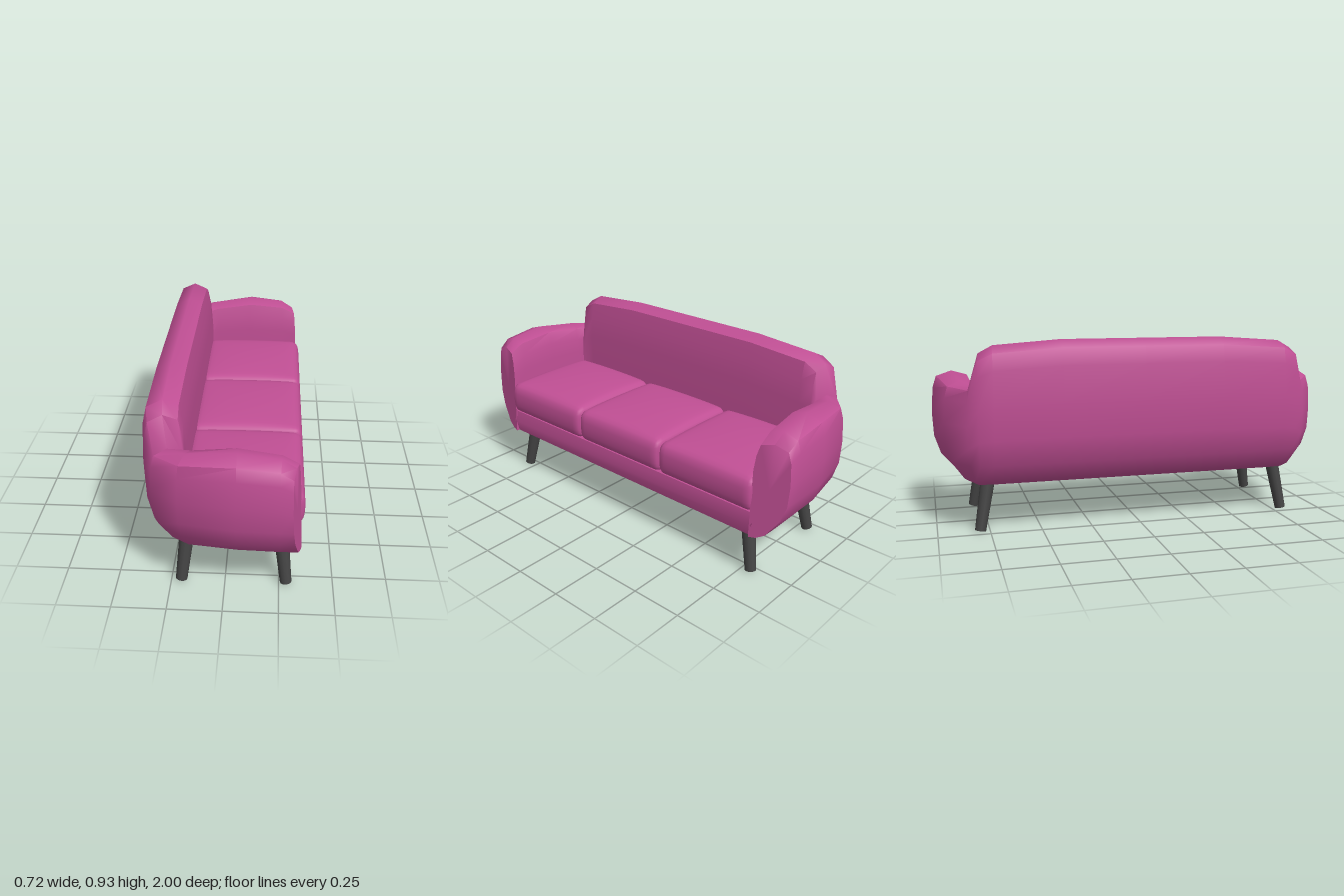
import * as THREE from 'three';
import { mergeVertices, toCreasedNormals } from 'three/addons/utils/BufferGeometryUtils.js';

const BASE = 0.345;

// Shell cross-section: u runs from inner (0) to outer (1) side.
// Points below the seat line have a fixed height, the others a share of the rise to the top.
const LOWER = [[0, 0.225], [0.2, 0.23], [0.45, 0.255], [0.82, BASE]];
const UPPER = [[0.97, 0.22], [1, 0.5], [0.96, 0.8], [0.87, 0.94], [0.5, 1],
  [0.14, 0.95], [0.05, 0.8], [0, 0.6], [0, 0]];

// Half of the U path: inner x, inner z, outer x, outer z, top height, forward lean
const STATIONS = [
  [-0.17, 0, -0.36, 0, 0.93, 0],
  [-0.17, 0.4, -0.36, 0.4, 0.93, 0],
  [-0.17, 0.71, -0.36, 0.73, 0.907, 0],
  [-0.17, 0.775, -0.345, 0.80, 0.87, 0],
  [-0.165, 0.785, -0.315, 0.85, 0.725, 0],
  [-0.13, 0.788, -0.19, 0.95, 0.735, 0],
  [0.06, 0.795, 0.06, 1.0, 0.762, 0],
  [0.25, 0.81, 0.24, 0.995, 0.74, 0.01],
  [0.325, 0.815, 0.29, 0.985, 0.70, 0.045],
];

function section([ix, iz, ox, oz, top, lean], side) {
  const place = (u, y) => [ix + (ox - ix) * u + lean * (0.7 - y), y, side * (iz + (oz - iz) * u)];
  return [
    ...LOWER.map(([u, y]) => place(u, y)),
    ...UPPER.map(([u, t]) => place(u, BASE + t * (top - BASE))),
  ];
}

// Back and both arms in one sweep, closed by a fan at each arm front
function shellGeometry() {
  const rings = [
    ...STATIONS.slice(1).reverse().map((s) => section(s, -1)),
    ...STATIONS.map((s) => section(s, 1)),
  ];
  const n = rings[0].length;
  const pos = rings.flat(2);
  const index = [];
  for (let i = 0; i < rings.length - 1; i++) {
    for (let j = 0; j < n; j++) {
      const k = (j + 1) % n;
      const a = i * n + j, b = (i + 1) * n + j, c = (i + 1) * n + k, d = i * n + k;
      index.push(a, b, c, a, c, d);
    }
  }
  [0, rings.length - 1].forEach((r) => {
    const centre = pos.length / 3;
    for (let c = 0; c < 3; c++) pos.push(rings[r].reduce((sum, p) => sum + p[c], 0) / n);
    for (let j = 0; j < n; j++) {
      const a = r * n + j, b = r * n + (j + 1) % n;
      if (r === 0) index.push(centre, a, b);
      else index.push(centre, b, a);
    }
  });
  const geo = new THREE.BufferGeometry();
  geo.setAttribute('position', new THREE.Float32BufferAttribute(pos, 3));
  geo.setIndex(index);
  return toCreasedNormals(geo, 0.95);
}

// Soft block: rounded edges, domed top and slightly bulging front
function cushionGeometry(w, h, d) {
  const r = 0.032;
  let geo = new THREE.BoxGeometry(w, h, d, 24, 10, 24);
  geo.deleteAttribute('normal');
  geo.deleteAttribute('uv');
  geo = mergeVertices(geo);
  const p = geo.attributes.position;
  const half = new THREE.Vector3(w / 2 - r, h / 2 - r, d / 2 - r);
  const v = new THREE.Vector3(), core = new THREE.Vector3();
  for (let i = 0; i < p.count; i++) {
    v.fromBufferAttribute(p, i);
    core.copy(v).clamp(half.clone().negate(), half);
    v.sub(core).setLength(r).add(core);
    const fx = 1 - (2 * v.x / w) ** 2, fz = 1 - (2 * v.z / d) ** 2;
    if (v.y > 0) v.y += 0.028 * Math.sqrt(Math.max(fx * fz, 0)) * (2 * v.y / h);
    if (v.x > 0) v.x += 0.014 * (1 - (2 * v.y / h) ** 2) * (2 * v.x / w);
    p.setXYZ(i, v.x, v.y, v.z);
  }
  geo.computeVertexNormals();
  return geo;
}

// Tapered leg between two points
function legGeometry(foot, head) {
  const axis = head.clone().sub(foot);
  const geo = new THREE.CylinderGeometry(0.035, 0.027, axis.length(), 12);
  geo.applyQuaternion(new THREE.Quaternion().setFromUnitVectors(
    new THREE.Vector3(0, 1, 0), axis.clone().normalize()));
  const mid = foot.clone().add(head).multiplyScalar(0.5);
  return geo.translate(mid.x, mid.y, mid.z);
}

export function createModel() {
  const group = new THREE.Group();
  const fabric = new THREE.MeshStandardMaterial({ color: 0xc04f94 });
  fabric.name = 'pink fabric';
  const wood = new THREE.MeshStandardMaterial({ color: 0x444444 });
  wood.name = 'dark legs';

  const add = (name, geo, mat) => {
    const mesh = new THREE.Mesh(geo, mat);
    mesh.name = name;
    group.add(mesh);
    return mesh;
  };

  add('backAndArms', shellGeometry(), fabric);

  // Front rail under the cushions
  const rail = new THREE.Shape([[0.23, 0.225], [0.33, 0.225], [0.343, 0.285], [0.332, 0.345], [0.23, 0.345]]
    .map(([x, y]) => new THREE.Vector2(x, y)));
  const railGeo = new THREE.ExtrudeGeometry(rail, { depth: 1.66, bevelEnabled: false });
  railGeo.translate(0, 0, -0.83);
  add('frontRail', toCreasedNormals(railGeo, 0.6), fabric);

  // Three seat cushions
  const cushion = cushionGeometry(0.54, 0.165, 0.548);
  for (const i of [-1, 0, 1]) {
    add('seatCushion', cushion, fabric).position.set(0.072, 0.4275, i * 0.549);
  }

  // Splayed legs
  for (const side of [-1, 1]) {
    add('frontLeg', legGeometry(new THREE.Vector3(0.283, 0.003, side * 0.797),
      new THREE.Vector3(0.254, 0.25, side * 0.75)), wood);
    add('backLeg', legGeometry(new THREE.Vector3(-0.203, 0.003, side * 0.797),
      new THREE.Vector3(-0.173, 0.26, side * 0.75)), wood);
  }
  return group;
}
